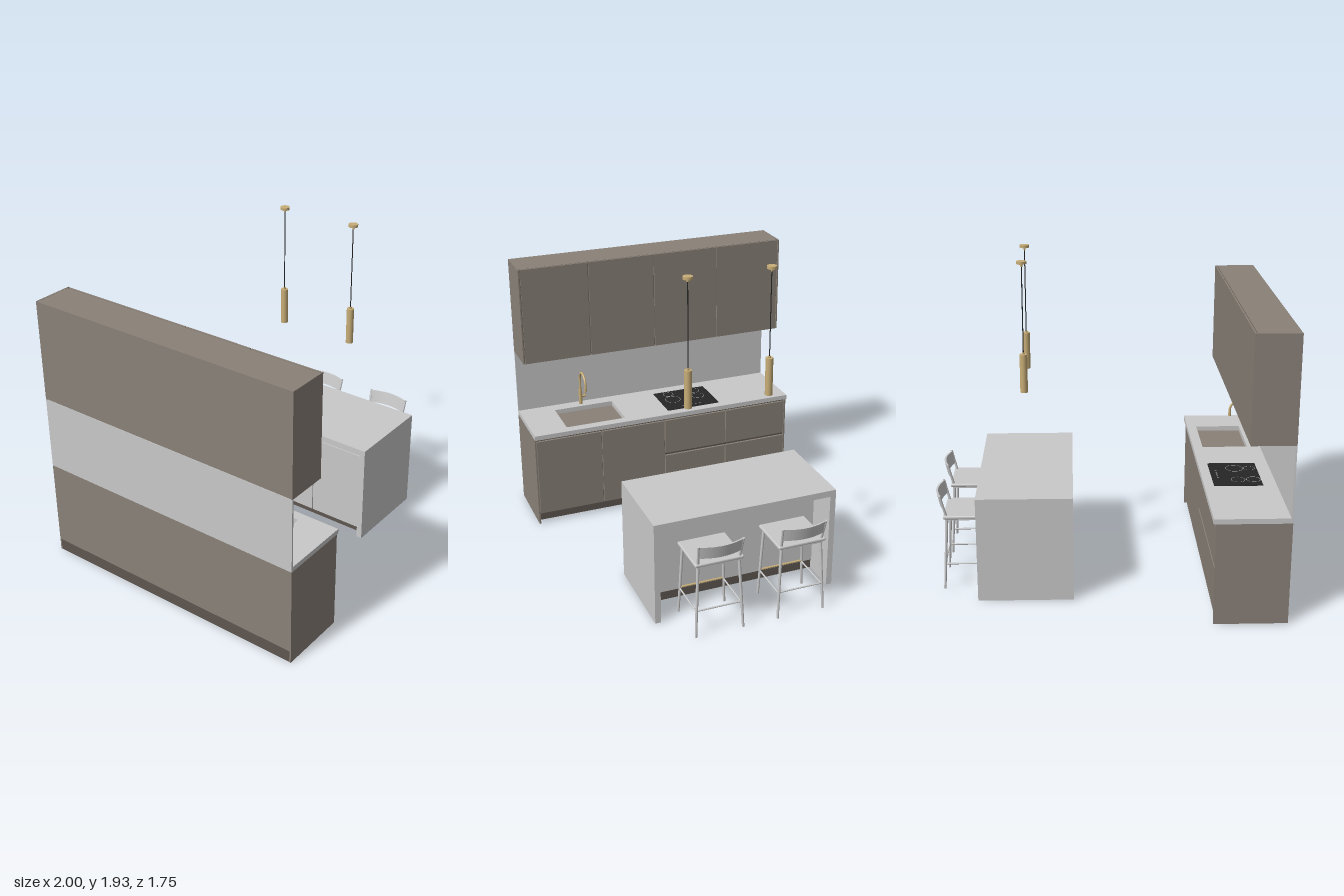
import * as THREE from 'three';
import { RoundedBoxGeometry } from 'three/addons/geometries/RoundedBoxGeometry.js';

const mat = (name, color) => Object.assign(new THREE.MeshStandardMaterial({ color }), { name });

export function createModel() {
  const taupe = mat('taupe cabinet', 0x8a8178);
  const shadow = mat('dark plinth', 0x5f5750);
  const stone = mat('pale stone', 0xc9c9c9);
  const brass = mat('brass', 0xc8ae78);
  const black = mat('black glass', 0x262626);
  const mark = mat('hob marking', 0xb0b0b0);

  const root = new THREE.Group();
  root.name = 'kitchen';
  const group = (name, parent = root) => {
    const g = new THREE.Group();
    g.name = name;
    parent.add(g);
    return g;
  };
  const add = (g, name, geo, m) => {
    const mesh = new THREE.Mesh(geo, m);
    mesh.name = name;
    g.add(mesh);
    return mesh;
  };
  // Box given by its limits on each axis
  const box = (g, name, m, x0, x1, y0, y1, z0, z1) => {
    const mesh = add(g, name, new THREE.BoxGeometry(x1 - x0, y1 - y0, z1 - z0), m);
    mesh.position.set((x0 + x1) / 2, (y0 + y1) / 2, (z0 + z1) / 2);
    return mesh;
  };
  // Round rod between two points
  const rod = (g, name, m, a, b, r0, r1 = r0, sides = 16) => {
    const p = new THREE.Vector3(...a), q = new THREE.Vector3(...b), d = q.clone().sub(p);
    const mesh = add(g, name, new THREE.CylinderGeometry(r1, r0, d.length(), sides), m);
    mesh.position.copy(p).add(q).multiplyScalar(0.5);
    mesh.quaternion.setFromUnitVectors(new THREE.Vector3(0, 1, 0), d.normalize());
    return mesh;
  };

  // Wall cabinets with four doors
  const wall = group('wallCabinets');
  box(wall, 'wallCarcass', taupe, -1, -0.765, 1.058, 1.672, -0.867, 0.867);
  for (const s of [-1, 1])
    box(wall, 'wallEndPanel', taupe, -1, -0.75, 1.056, 1.673, Math.min(s * 0.867, s * 0.875), Math.max(s * 0.867, s * 0.875));
  box(wall, 'wallDoorGap', shadow, -0.765, -0.76, 1.06, 1.668, -0.867, 0.867);
  for (let i = 0; i < 4; i++) {
    const z = -0.865 + i * 0.4325;
    box(wall, 'wallDoor', taupe, -0.76, -0.75, 1.056, 1.672, z + 0.003, z + 0.4295);
  }
  // Extractor under the cabinets
  box(wall, 'extractor', black, -0.95, -0.79, 1.053, 1.058, -0.40, -0.04);
  for (let i = 0; i < 6; i++)
    box(wall, 'extractorSlat', shadow, -0.94 + i * 0.025, -0.93 + i * 0.025, 1.049, 1.053, -0.385, -0.055);

  box(root, 'backsplash', stone, -1, -0.99, 0.635, 1.056, -0.875, 0.875);

  // Base cabinets
  const base = group('baseCabinets');
  box(base, 'basePlinth', shadow, -0.998, -0.63, 0, 0.075, -0.866, 0.866);
  box(base, 'baseCarcass', taupe, -1, -0.6, 0.075, 0.606, -0.866, 0.866);
  box(base, 'baseDoorGap', shadow, -0.6, -0.595, 0.077, 0.604, -0.866, 0.866);
  for (const z of [-0.875, 0.865])
    box(base, 'baseEndPanel', taupe, -1, -0.58, 0, 0.606, z, z + 0.01);
  for (let i = 0; i < 4; i++) {
    const z0 = -0.865 + i * 0.4325 + 0.003, z1 = z0 + 0.4265;
    if (i < 2) {
      box(base, 'lowerDrawer', taupe, -0.595, -0.58, 0.075, 0.333, z0, z1);
      box(base, 'upperDrawer', taupe, -0.595, -0.58, 0.352, 0.587, z0, z1);
    } else box(base, 'baseDoor', taupe, -0.595, -0.58, 0.075, 0.587, z0, z1);
  }

  // Worktop with sink opening
  const top = new THREE.Shape();
  top.moveTo(-1, -0.875).lineTo(-0.567, -0.875).lineTo(-0.567, 0.875).lineTo(-1, 0.875).closePath();
  const hole = new THREE.Path();
  hole.moveTo(-0.91, -0.65).lineTo(-0.91, -0.257).lineTo(-0.627, -0.257).lineTo(-0.627, -0.65).closePath();
  top.holes.push(hole);
  const slab = add(root, 'worktop', new THREE.ExtrudeGeometry(top, { depth: 0.03, bevelEnabled: false }), stone);
  slab.rotation.x = -Math.PI / 2;
  slab.position.y = 0.606;

  // Hob with cooking rings and control dots
  const hob = group('hob');
  box(hob, 'hobGlass', black, -0.91, -0.624, 0.636, 0.64, -0.40, -0.04);
  for (const [x, z, r] of [[-0.775, -0.13, 0.052], [-0.775, -0.31, 0.042], [-0.865, -0.13, 0.035], [-0.865, -0.31, 0.042]]) {
    const ring = add(hob, 'cookingRing', new THREE.RingGeometry(r - 0.003, r, 40), mark);
    ring.rotation.x = -Math.PI / 2;
    ring.position.set(x, 0.6408, z);
  }
  for (let i = 0; i < 5; i++)
    rod(hob, 'controlDot', mark, [-0.66, 0.64, -0.16 - i * 0.03], [-0.66, 0.641, -0.16 - i * 0.03], 0.005);

  // Tap
  const tap = group('tap');
  rod(tap, 'tapBase', brass, [-0.95, 0.636, 0.46], [-0.95, 0.735, 0.46], 0.012, 0.012, 24);
  const path = new THREE.CurvePath();
  const v = (x, y) => new THREE.Vector3(x, y, 0.46);
  const pts = [v(-0.95, 0.72), v(-0.95, 0.77)];
  for (let i = 0; i <= 12; i++) {
    const a = Math.PI * (1 - i / 12);
    pts.push(v(-0.885 + 0.065 * Math.cos(a), 0.812 + 0.065 * Math.sin(a)));
  }
  pts.push(v(-0.82, 0.785));
  add(tap, 'tapSpout', new THREE.TubeGeometry(new THREE.CatmullRomCurve3(pts), 60, 0.0075, 12), brass);
  rod(tap, 'tapNozzle', brass, [-0.82, 0.775, 0.46], [-0.82, 0.8, 0.46], 0.009);
  rod(tap, 'tapHandlePivot', brass, [-0.95, 0.69, 0.46], [-0.95, 0.69, 0.425], 0.008);
  rod(tap, 'tapLever', brass, [-0.95, 0.685, 0.43], [-0.95, 0.74, 0.427], 0.005, 0.004);

  // Island: waterfall slab, recessed body and three doors at the back
  const island = group('island');
  box(island, 'islandTop', stone, 0.195, 0.75, 0.594, 0.634, -0.558, 0.558);
  for (const z of [-0.558, 0.523])
    box(island, 'islandEndPanel', stone, 0.195, 0.75, 0, 0.594, z, z + 0.035);
  box(island, 'islandBody', stone, 0.23, 0.55, 0.06, 0.594, -0.523, 0.523);
  box(island, 'islandPlinth', shadow, 0.25, 0.54, 0, 0.06, -0.523, 0.523);
  box(island, 'islandDoorGap', shadow, 0.225, 0.23, 0.06, 0.592, -0.523, 0.523);
  for (let i = 0; i < 3; i++) {
    const z = -0.523 + i * 0.3487;
    box(island, 'islandDoor', stone, 0.21, 0.225, 0.06, 0.578, z + 0.003, z + 0.3457);
  }

  // Bar stools
  const back = new THREE.Shape();
  back.moveTo(0.962, -0.127).quadraticCurveTo(1.018, 0, 0.962, 0.127);
  back.lineTo(0.952, 0.127).quadraticCurveTo(1.006, 0, 0.952, -0.127).closePath();
  for (const side of [-1, 1]) {
    const stool = group('barStool');
    stool.position.z = side * 0.25;
    const frame = add(stool, 'seatFrame', new THREE.BoxGeometry(0.255, 0.014, 0.26), stone);
    frame.position.set(0.815, 0.438, 0);
    const seat = add(stool, 'seat', new RoundedBoxGeometry(0.275, 0.02, 0.29, 3, 0.008), stone);
    seat.position.set(0.815, 0.452, 0);
    for (const s of [-1, 1]) {
      rod(stool, 'frontLeg', stone, [0.682, 0, s * 0.143], [0.70, 0.44, s * 0.122], 0.007, 0.009);
      rod(stool, 'rearLeg', stone, [0.957, 0, s * 0.143], [0.932, 0.44, s * 0.122], 0.007, 0.009);
      rod(stool, 'backPost', stone, [0.932, 0.44, s * 0.122], [0.968, 0.585, s * 0.132], 0.008, 0.007);
      rod(stool, 'sideRail', stone, [0.688, 0.157, s * 0.135], [0.948, 0.157, s * 0.135], 0.005);
    }
    rod(stool, 'rearRail', stone, [0.948, 0.165, -0.135], [0.948, 0.165, 0.135], 0.005);
    rod(stool, 'footRail', brass, [0.688, 0.165, -0.135], [0.688, 0.165, 0.135], 0.006);
    // Curved backrest, leaning back
    const geo = new THREE.ExtrudeGeometry(back, { depth: 0.078, bevelEnabled: false, curveSegments: 20 });
    geo.rotateX(-Math.PI / 2).translate(0, 0.503, 0);
    const p = geo.attributes.position;
    for (let i = 0; i < p.count; i++) p.setX(i, p.getX(i) + 0.22 * (p.getY(i) - 0.54));
    geo.computeVertexNormals();
    add(stool, 'backrest', geo, stone);
  }

  // Pendant lamps
  for (const z of [-0.245, 0.245]) {
    const lamp = group('pendantLamp');
    lamp.position.set(0.47, 0, z);
    rod(lamp, 'canopy', brass, [0, 1.916, 0], [0, 1.932, 0], 0.028, 0.028, 32);
    rod(lamp, 'cordGrip', brass, [0, 1.9, 0], [0, 1.916, 0], 0.006);
    rod(lamp, 'cord', black, [0, 1.4, 0], [0, 1.905, 0], 0.003, 0.003, 8);
    rod(lamp, 'shadeCap', brass, [0, 1.39, 0], [0, 1.405, 0], 0.008);
    rod(lamp, 'shade', brass, [0, 1.17, 0], [0, 1.395, 0], 0.022, 0.022, 32);
  }
  return root;
}
